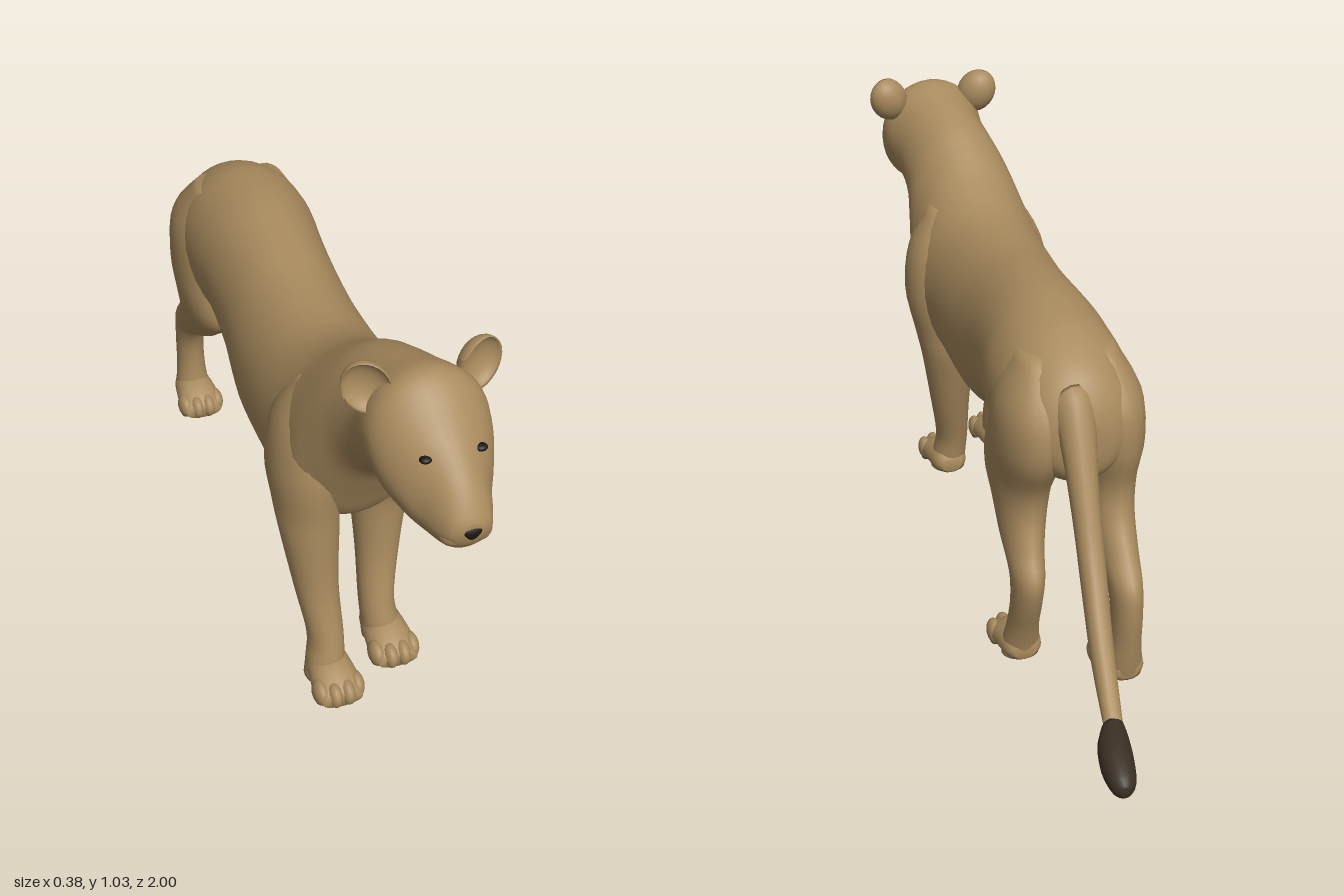
import * as THREE from 'three';

const coat = new THREE.MeshStandardMaterial({ color: 0xa98b5e });
coat.name = 'tan coat';
const tuftMat = new THREE.MeshStandardMaterial({ color: 0x3a3024 });
tuftMat.name = 'dark tuft';
const blackMat = new THREE.MeshStandardMaterial({ color: 0x1c1712 });
blackMat.name = 'black skin';

const clamp01 = (v) => Math.min(1, Math.max(0, v));

// Smoothly interpolate rows of section parameters
function smoothRows(rows, steps) {
  const out = [];
  const at = (i) => rows[Math.min(rows.length - 1, Math.max(0, i))];
  for (let i = 0; i < rows.length - 1; i++) {
    for (let s = 0; s < steps; s++) {
      const t = s / steps;
      out.push(at(i).map((b, k) => {
        const a = at(i - 1)[k], c = at(i + 1)[k], d = at(i + 2)[k];
        return b + 0.5 * t * (c - a + t * (2 * a - 5 * b + 4 * c - d + t * (3 * (b - c) + d - a)));
      }));
    }
  }
  out.push(rows[rows.length - 1]);
  return out;
}

// Skin a list of rings, closing both ends with fans
function loft(rings) {
  const n = rings[0].length, pos = [], idx = [];
  rings.forEach((r) => r.forEach((p) => pos.push(...p)));
  for (let i = 0; i < rings.length - 1; i++) {
    for (let j = 0; j < n; j++) {
      const a = i * n + j, b = i * n + (j + 1) % n;
      idx.push(a, b, a + n, b, b + n, a + n);
    }
  }
  [0, rings.length - 1].forEach((ri, end) => {
    const c = pos.length / 3, base = ri * n;
    pos.push(...[0, 1, 2].map((k) => rings[ri].reduce((s, p) => s + p[k], 0) / n));
    for (let j = 0; j < n; j++) {
      const a = base + j, b = base + (j + 1) % n;
      if (end) idx.push(c, a, b); else idx.push(c, b, a);
    }
  });
  const g = new THREE.BufferGeometry();
  g.setAttribute('position', new THREE.Float32BufferAttribute(pos, 3));
  g.setIndex(idx);
  g.computeVertexNormals();
  return g;
}

const angles = (n) => Array.from({ length: n }, (_, j) => (j / n) * Math.PI * 2);

// Upright sections along z: [z, centreX, bottom, top, halfWidth, height fraction of widest point]
function loftZ(rows, sides = 28, steps = 4) {
  return loft(smoothRows(rows, steps).map(([z, cx, y0, y1, w, k]) => {
    const yc = y0 + (y1 - y0) * k;
    return angles(sides).map((a) => {
      const s = Math.sin(a);
      return [cx + w * Math.cos(a), yc + s * (s > 0 ? y1 - yc : yc - y0), z];
    });
  }));
}

// Level sections from top to bottom: [y, centreX, centreZ, radiusX, radiusZ]
function loftDown(rows) {
  return loft(smoothRows(rows, 4).map(([y, cx, cz, rx, rz]) =>
    angles(20).map((a) => [cx + rx * Math.cos(a), y, cz + rz * Math.sin(a)])));
}

function add(parent, name, geometry, material) {
  const m = new THREE.Mesh(geometry, material);
  m.name = name;
  parent.add(m);
  return m;
}

function blob(parent, name, material, p, r) {
  return add(parent, name, new THREE.SphereGeometry(1, 18, 12).scale(...r).translate(...p), material);
}

const trunkRows = [
  [-0.46, 0, 0.58, 0.66, 0.03, 0.5], [-0.445, 0, 0.53, 0.71, 0.08, 0.5],
  [-0.4, 0, 0.5, 0.77, 0.12, 0.5], [-0.3, 0, 0.47, 0.82, 0.15, 0.5],
  [-0.2, 0, 0.46, 0.835, 0.155, 0.5], [-0.1, -0.005, 0.465, 0.837, 0.146, 0.5],
  [0.03, -0.01, 0.425, 0.825, 0.143, 0.5], [0.17, -0.015, 0.372, 0.808, 0.152, 0.5],
  [0.34, -0.015, 0.385, 0.81, 0.158, 0.48], [0.45, -0.01, 0.4, 0.847, 0.165, 0.42],
  [0.53, -0.01, 0.43, 0.898, 0.155, 0.42], [0.585, -0.005, 0.53, 0.935, 0.138, 0.45],
  [0.64, 0.002, 0.63, 0.96, 0.122, 0.48], [0.71, 0.012, 0.695, 0.985, 0.116, 0.5],
  [0.78, 0.02, 0.725, 1.005, 0.126, 0.52], [0.83, 0.023, 0.71, 0.98, 0.12, 0.5],
  [0.88, 0.027, 0.698, 0.93, 0.098, 0.48], [0.92, 0.031, 0.697, 0.89, 0.074, 0.42],
  [0.96, 0.034, 0.705, 0.845, 0.057, 0.42], [0.985, 0.035, 0.73, 0.808, 0.042, 0.45],
  [0.995, 0.035, 0.755, 0.788, 0.02, 0.5],
];

const frontLegRows = [
  [0.79, 0.075, 0.48, 0.03, 0.04], [0.69, 0.09, 0.47, 0.07, 0.09],
  [0.57, 0.097, 0.46, 0.078, 0.11], [0.47, 0.087, 0.44, 0.072, 0.09],
  [0.4, 0.08, 0.432, 0.066, 0.073], [0.25, 0.071, 0.457, 0.05, 0.053],
  [0.13, 0.06, 0.49, 0.041, 0.047], [0.07, 0.064, 0.505, 0.043, 0.049],
  [0.02, 0.068, 0.51, 0.045, 0.048],
];

const hindLegRows = [
  [0.78, 0.075, -0.29, 0.03, 0.06], [0.68, 0.085, -0.31, 0.074, 0.125],
  [0.57, 0.09, -0.3, 0.08, 0.145], [0.47, 0.095, -0.255, 0.069, 0.14],
  [0.4, 0.1, -0.278, 0.057, 0.11], [0.33, 0.108, -0.325, 0.046, 0.09],
  [0.27, 0.113, -0.383, 0.038, 0.066], [0.2, 0.115, -0.386, 0.035, 0.05],
  [0.12, 0.115, -0.36, 0.036, 0.043], [0.06, 0.115, -0.34, 0.042, 0.042],
  [0.02, 0.115, -0.335, 0.044, 0.038],
];

// Paw reaching from heel to toe, with four toes and dark pads underneath
function addPaw(parent, cx, back, front) {
  const paw = new THREE.Group();
  paw.name = 'paw';
  parent.add(paw);
  const L = front - back;
  add(paw, 'foot', loftZ([
    [back, cx, 0.025, 0.06, 0.025, 0.5], [back + 0.12 * L, cx, 0.012, 0.085, 0.043, 0.45],
    [back + 0.45 * L, cx, 0.007, 0.085, 0.052, 0.42], [back + 0.75 * L, cx, 0.006, 0.066, 0.056, 0.42],
    [back + 0.93 * L, cx, 0.012, 0.045, 0.045, 0.45],
  ], 20, 3), coat);
  [-0.042, -0.015, 0.015, 0.042].forEach((dx) => {
    const tip = front - 0.032 - (Math.abs(dx) > 0.03 ? 0.016 : 0);
    blob(paw, 'toe', coat, [cx + dx, 0.034, tip], [0.018, 0.03, 0.032]);
    blob(paw, 'toePad', blackMat, [cx + dx, 0.006, tip], [0.01, 0.004, 0.014]);
  });
  blob(paw, 'heelPad', blackMat, [cx, 0.006, back + 0.5 * L], [0.032, 0.005, 0.026]);
}

// side is +1 or -1; shift moves the lower leg along z, lean moves it along x
function addLeg(parent, name, rows, side, shift, lean, paw) {
  const leg = new THREE.Group();
  leg.name = name;
  parent.add(leg);
  add(leg, 'limb', loftDown(rows.map(([y, cx, cz, rx, rz]) =>
    [y, side * cx + lean(y), cz + shift(y), rx, rz])), coat);
  addPaw(leg, ...paw);
}

// Rounded ear, hollowed at the front
function addEar(parent, side) {
  const g = new THREE.SphereGeometry(1, 24, 18).rotateX(Math.PI / 2);
  const p = g.attributes.position;
  for (let i = 0; i < p.count; i++) {
    const z = p.getZ(i);
    if (z > 0.05) p.setZ(i, 0.3 - 0.75 * z);
  }
  g.scale(0.048, 0.058, 0.04);
  g.computeVertexNormals();
  const ear = add(parent, 'ear', g, coat);
  ear.position.set(0.022 + side * 0.116, 0.972, 0.762);
  ear.rotation.set(-0.1, side * 0.3, -side * 0.45);
}

export function createModel() {
  const model = new THREE.Group();
  model.name = 'bigCat';
  const none = () => 0;

  add(model, 'bodyAndHead', loftZ(trunkRows, 36), coat);

  // Legs in mid-stride
  addLeg(model, 'frontLeg', frontLegRows, 1, none, none, [0.07, 0.455, 0.63]);
  addLeg(model, 'frontLeg', frontLegRows, -1, (y) => 0.072 * clamp01((0.6 - y) / 0.2),
    (y) => -0.015 - 0.015 * clamp01((0.6 - y) / 0.2), [-0.09, 0.535, 0.7]);
  addLeg(model, 'hindLeg', hindLegRows, 1, none, none, [0.115, -0.378, -0.22]);
  addLeg(model, 'hindLeg', hindLegRows, -1, (y) => -0.14 * clamp01((0.56 - y) / 0.48),
    (y) => 0.03 * clamp01((0.5 - y) / 0.25), [-0.085, -0.515, -0.36]);

  // Face
  const face = new THREE.Group();
  face.name = 'face';
  model.add(face);
  [1, -1].forEach((side) => {
    addEar(face, side);
    blob(face, 'eye', blackMat, [0.03 + side * 0.056, 0.886, 0.897], [0.013, 0.007, 0.011]);
    blob(face, 'whiskerPad', coat, [0.035 + side * 0.025, 0.748, 0.957], [0.03, 0.028, 0.03]);
  });
  blob(face, 'chin', coat, [0.035, 0.715, 0.935], [0.035, 0.022, 0.032]);
  // Nose, wide above and narrow below
  const nose = new THREE.SphereGeometry(1, 18, 12);
  const np = nose.attributes.position;
  for (let i = 0; i < np.count; i++) np.setX(i, np.getX(i) * (0.7 + 0.45 * np.getY(i)));
  nose.scale(0.038, 0.021, 0.02).translate(0.035, 0.766, 0.98);
  nose.computeVertexNormals();
  add(face, 'nose', nose, blackMat);

  // Tail and its dark tuft
  add(model, 'tail', loftZ([
    [-0.86, 0.07, 0.16, 0.2, 0.02, 0.5], [-0.72, 0.05, 0.225, 0.31, 0.026, 0.5],
    [-0.61, 0.033, 0.31, 0.43, 0.029, 0.5], [-0.53, 0.027, 0.43, 0.58, 0.031, 0.5],
    [-0.46, 0.022, 0.56, 0.715, 0.04, 0.5], [-0.42, 0.02, 0.62, 0.75, 0.05, 0.5],
  ], 18), coat);
  add(model, 'tailTuft', loftZ([
    [-1, 0.093, 0.135, 0.16, 0.01, 0.5], [-0.98, 0.092, 0.122, 0.178, 0.027, 0.5],
    [-0.93, 0.088, 0.125, 0.197, 0.036, 0.5], [-0.88, 0.08, 0.143, 0.205, 0.034, 0.5],
    [-0.845, 0.07, 0.16, 0.21, 0.024, 0.5],
  ], 18), tuftMat);

  return model;
}
